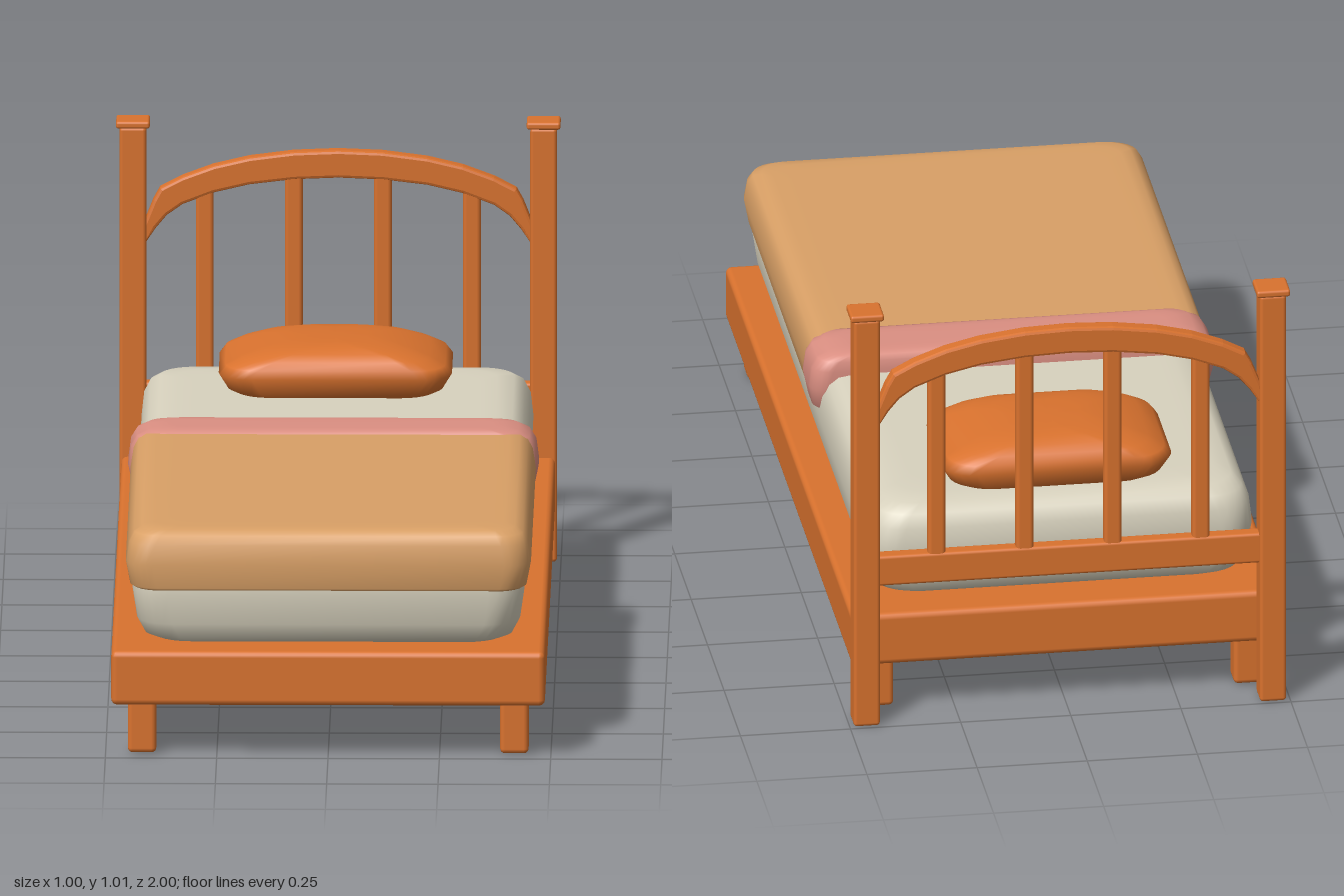
import * as THREE from 'three';
import { RoundedBoxGeometry } from 'three/addons/geometries/RoundedBoxGeometry.js';

const material = (name, color) => {
  const m = new THREE.MeshStandardMaterial({ color });
  m.name = name;
  return m;
};

// Soft block lofted from rounded rectangles; each ring is [y, x inset, z inset], bottom to top
function softBlock(halfW, halfD, radius, rings) {
  const pos = [], index = [], steps = 6, n = 4 * (steps + 1);
  for (const [y, ix, iz] of rings) {
    const w = halfW - ix, d = halfD - iz;
    const r = Math.min(radius, w, d);
    for (let c = 0; c < 4; c++) {
      const sx = c === 0 || c === 3 ? 1 : -1, sz = c < 2 ? 1 : -1;
      for (let i = 0; i <= steps; i++) {
        const a = (c + i / steps) * Math.PI / 2;
        pos.push(sx * (w - r) + r * Math.cos(a), y, sz * (d - r) + r * Math.sin(a));
      }
    }
  }
  const last = (rings.length - 1) * n, bottom = rings.length * n, top = bottom + 1;
  pos.push(0, rings[0][0], 0, 0, rings[rings.length - 1][0], 0);
  for (let i = 0; i < n; i++) {
    const j = (i + 1) % n;
    for (let k = 0; k < last; k += n) {
      index.push(k + i, k + n + i, k + j, k + j, k + n + i, k + n + j);
    }
    index.push(bottom, i, j, top, last + j, last + i);
  }
  const g = new THREE.BufferGeometry();
  g.setAttribute('position', new THREE.Float32BufferAttribute(pos, 3));
  g.setIndex(index);
  g.computeVertexNormals();
  return g;
}

export function createModel() {
  const bed = new THREE.Group();
  bed.name = 'bed';
  const wood = material('orange wood', 0xd9722e);
  const sheet = material('cream sheet', 0xd8d2be);
  const cover = material('tan blanket', 0xd9a066);
  const pink = material('pink fold', 0xdb8f82);

  const add = (name, geometry, mat, x = 0, y = 0, z = 0) => {
    const mesh = new THREE.Mesh(geometry, mat);
    mesh.name = name;
    mesh.position.set(x, y, z);
    bed.add(mesh);
    return mesh;
  };
  // Rounded wooden box given by its extents
  const box = (name, x0, x1, y0, y1, z0, z1, r) =>
    add(name, new RoundedBoxGeometry(x1 - x0, y1 - y0, z1 - z0, 2, r), wood,
      (x0 + x1) / 2, (y0 + y1) / 2, (z0 + z1) / 2);

  // Base
  box('bedFrame', -0.487, 0.487, 0.12, 0.245, -0.93, 1, 0.014);

  // Legs, posts and caps, mirrored
  for (const s of [-1, 1]) {
    const side = s > 0 ? 'left' : 'right';
    const x = s * 0.418;
    box(side + 'FrontLeg', x - 0.032, x + 0.032, 0.003, 0.125, 0.902, 0.966, 0.011);
    box(side + 'BackLeg', x - 0.032, x + 0.032, 0.003, 0.125, -0.896, -0.832, 0.011);
    const p = s * 0.461;
    box(side + 'Post', p - 0.03, p + 0.03, 0, 1.0, -0.993, -0.932, 0.008);
    box(side + 'PostCap', p - 0.038, p + 0.038, 0.998, 1.015, -1, -0.925, 0.006);
  }

  // Headboard: lower rail, bars and arch
  box('lowerRail', -0.44, 0.44, 0.337, 0.41, -0.979, -0.944, 0.007);
  for (const x of [-0.3, -0.1, 0.1, 0.3]) {
    box('headboardBar', x - 0.02, x + 0.02, 0.39, Math.abs(x) > 0.2 ? 0.86 : 0.9, -0.977, -0.946, 0.009);
  }
  const v = (x, y) => new THREE.Vector2(x, y);
  const mirror = (half) => [...half.slice(1).reverse().map((q) => v(-q.x, q.y)), ...half];
  const upper = mirror([v(0, 0.945), v(0.1, 0.941), v(0.2, 0.928), v(0.28, 0.909),
    v(0.35, 0.883), v(0.4, 0.857), v(0.415, 0.83), v(0.437, 0.775)]);
  const lower = mirror([v(0, 0.882), v(0.1, 0.878), v(0.2, 0.866), v(0.28, 0.847),
    v(0.35, 0.82), v(0.385, 0.795), v(0.41, 0.765), v(0.437, 0.725)]);
  const arch = new THREE.ExtrudeGeometry(new THREE.Shape([...upper, ...lower.reverse()]), {
    depth: 0.023, bevelEnabled: true, bevelThickness: 0.007, bevelSize: 0.007,
    bevelOffset: -0.007, bevelSegments: 2,
  });
  add('archRail', arch, wood, 0, 0, -0.973);

  // Bedding
  add('mattress', softBlock(0.44, 0.928, 0.08, [
    [0.25, 0.09, 0.09], [0.252, 0.05, 0.05], [0.265, 0.027, 0.027], [0.3, 0.01, 0.012],
    [0.37, 0, 0], [0.425, 0.006, 0.006], [0.455, 0.02, 0.02], [0.472, 0.042, 0.045],
    [0.478, 0.08, 0.09], [0.478, 0.12, 0.14],
  ]), sheet, 0, 0, 0.047);
  add('blanket', softBlock(0.455, 0.54, 0.06, [
    [0.38, 0.05, 0.05], [0.38, 0.018, 0.012], [0.386, 0.01, 0.006], [0.44, 0, 0],
    [0.485, 0.007, 0.006], [0.505, 0.018, 0.016], [0.515, 0.036, 0.034],
    [0.518, 0.06, 0.06], [0.518, 0.1, 0.1],
  ]), cover, 0, 0, 0.445);
  add('blanketFold', softBlock(0.461, 0.085, 0.045, [
    [0.377, 0.05, 0.05], [0.378, 0.022, 0.025], [0.39, 0.01, 0.012], [0.44, 0, 0],
    [0.485, 0.006, 0.002], [0.508, 0.02, 0.004], [0.52, 0.045, 0.01],
    [0.525, 0.075, 0.025], [0.526, 0.1, 0.045],
  ]), pink, 0, 0, -0.053);
  add('pillow', softBlock(0.262, 0.175, 0.075, [
    [0.468, 0.1, 0.08], [0.472, 0.05, 0.035], [0.49, 0.02, 0.012], [0.525, 0, 0],
    [0.545, 0.015, 0.004], [0.562, 0.05, 0.014], [0.577, 0.095, 0.032],
    [0.587, 0.145, 0.06], [0.591, 0.19, 0.1],
  ]), wood, -0.002, 0, -0.652);

  return bed;
}
